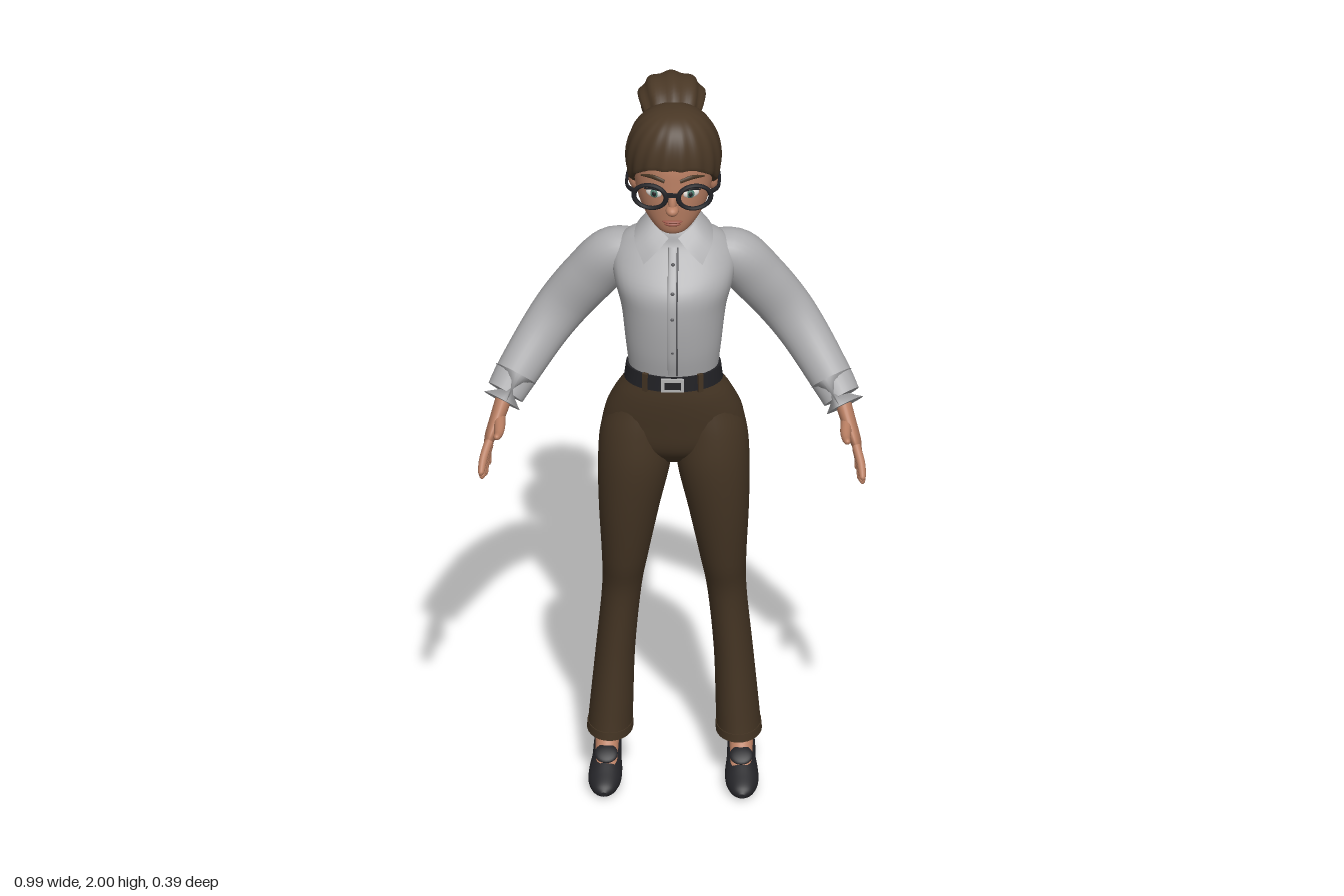
import * as THREE from 'three';

const V = (x, y, z) => new THREE.Vector3(x, y, z);
const paint = (name, color) => {
  const m = new THREE.MeshStandardMaterial({ color });
  m.name = name;
  return m;
};

export function createModel() {
  const model = new THREE.Group();
  model.name = 'woman';
  const skin = paint('skin', 0xb97f63), hair = paint('brown hair', 0x4a3826), shirt = paint('grey shirt', 0xadadaf);
  const cloth = paint('brown trousers', 0x453524), black = paint('black leather', 0x222226), white = paint('eye white', 0xe6e2dc);
  const iris = paint('green iris', 0x4f7f70), lip = paint('lips', 0x9a5648), seam = paint('dark seam', 0x5c5c60);
  const metal = paint('buckle metal', 0xb4b4b4);
  shirt.side = hair.side = THREE.DoubleSide;

  const add = (name, geo, mat, pos = [0, 0, 0], scale = [1, 1, 1], rot = [0, 0, 0]) => {
    const m = new THREE.Mesh(geo, mat);
    m.name = name;
    m.position.set(...pos);
    m.scale.set(...scale);
    m.rotation.set(...rot);
    model.add(m);
    return m;
  };
  const ball = (name, mat, pos, radii, rot) => add(name, new THREE.SphereGeometry(1, 20, 14), mat, pos, radii, rot);

  // Smooth skin over oval sections; each row is x, y, z, radius along wide, radius across.
  function sweep(name, mat, rows, { s = 1, wide = V(1, 0, 0), axis, n = 28, step = 5, ripple = 0, folds = 9 } = {}) {
    const path = new THREE.CatmullRomCurve3(rows.map(r => V(r[0] * s, r[1], r[2])), false, 'catmullrom');
    const size = new THREE.CatmullRomCurve3(rows.map(r => V(r[3], r[4] ?? r[3], 0)), false, 'catmullrom');
    const pos = [], idx = [], rings = (rows.length - 1) * step;
    const put = p => pos.push(p.x, p.y, p.z);
    for (let k = 0; k <= rings; k++) {
      const c = path.getPoint(k / rings), r = size.getPoint(k / rings);
      const t = axis ?? path.getTangent(k / rings);
      const w = wide.clone().addScaledVector(t, -wide.dot(t)).normalize();
      const u = t.clone().cross(w);
      for (let i = 0; i < n; i++) {
        const a = i / n * Math.PI * 2, f = 1 + ripple * Math.cos(folds * a + k * 0.12);
        put(c.clone().addScaledVector(w, r.x * f * Math.cos(a)).addScaledVector(u, r.y * f * Math.sin(a)));
      }
    }
    for (let k = 0; k < rings; k++) for (let i = 0; i < n; i++) {
      const a = k * n + i, b = k * n + (i + 1) % n;
      idx.push(a, b, b + n, a, b + n, a + n);
    }
    // Flat end caps with their own vertices
    for (const [ring, last] of [[0, false], [rings, true]]) {
      const base = pos.length / 3;
      pos.push(...pos.slice(ring * n * 3, (ring + 1) * n * 3));
      put(path.getPoint(last ? 1 : 0));
      for (let i = 0; i < n; i++) {
        const a = base + i, b = base + (i + 1) % n;
        idx.push(base + n, last ? a : b, last ? b : a);
      }
    }
    const g = new THREE.BufferGeometry();
    g.setAttribute('position', new THREE.Float32BufferAttribute(pos, 3));
    g.setIndex(idx);
    g.computeVertexNormals();
    return add(name, g, mat);
  }
  const up = V(0, 1, 0), across = V(0, 0, 1);

  // Grid surface from a point rule
  function surface(name, mat, nu, nv, rule) {
    const g = new THREE.PlaneGeometry(1, 1, nu, nv), p = g.attributes.position;
    for (let j = 0, k = 0; j <= nv; j++) for (let i = 0; i <= nu; i++, k++) {
      const q = rule(i / nu, j / nv);
      p.setXYZ(k, q.x, q.y, q.z);
    }
    g.computeVertexNormals();
    return add(name, g, mat);
  }

  // Trousers, belt and shirt body
  sweep('hips', cloth, [[0, 0.95, 0, 0.09, 0.05], [0, 1.0, 0, 0.178, 0.092], [0, 1.08, 0.002, 0.177, 0.107],
    [0, 1.15, 0.018, 0.15, 0.1], [0, 1.2, 0.03, 0.12, 0.088], [0, 1.225, 0.033, 0.116, 0.086]], { axis: up, n: 40 });
  sweep('belt', black, [[0, 1.193, 0.032, 0.126, 0.093], [0, 1.235, 0.033, 0.121, 0.091]], { axis: up, n: 40, step: 1 });
  for (const a of [0.6, 2.3, 3.98, 5.68])
    add('beltLoop', new THREE.BoxGeometry(0.014, 0.05, 0.01), cloth,
      [0.124 * Math.sin(a), 1.213, 0.032 + 0.092 * Math.cos(a)], [1, 1, 1], [0, a, 0]);
  add('buckle', new THREE.BoxGeometry(0.058, 0.036, 0.008), metal, [0, 1.214, 0.127]);
  add('buckleCentre', new THREE.BoxGeometry(0.042, 0.02, 0.008), black, [0, 1.214, 0.129]);
  sweep('shirtBody', shirt, [[0, 1.22, 0.032, 0.113, 0.085], [0, 1.3, 0.036, 0.122, 0.097], [0, 1.4, 0.025, 0.134, 0.117],
    [0, 1.47, 0.013, 0.152, 0.121], [0, 1.53, -0.014, 0.158, 0.1], [0, 1.575, -0.02, 0.13, 0.073],
    [0, 1.605, -0.012, 0.08, 0.056], [0, 1.625, -0.012, 0.052, 0.046]], { axis: up, n: 40 });
  const front = [[1.24, 0.119], [1.3, 0.134], [1.4, 0.143], [1.47, 0.135], [1.53, 0.088], [1.575, 0.055]];
  sweep('placket', shirt, front.map(([y, z]) => [0, y, z, 0.013, 0.004]), { n: 10 });
  sweep('placketSeam', seam, front.map(([y, z]) => [0.011, y, z + 0.001, 0.0025, 0.004]), { n: 8 });
  for (const [y, z] of front.slice(0, 5)) ball('button', seam, [0, y + 0.015, z + 0.003], [0.005, 0.005, 0.004]);

  // Folded collar with two points
  const curve = pts => new THREE.CatmullRomCurve3(pts.map(p => V(...p)));
  const collarTop = curve([[0.012, 1.602, 0.055], [0.054, 1.632, 0.02], [0.05, 1.655, -0.035], [0, 1.665, -0.058]]);
  const collarEdge = curve([[0.075, 1.54, 0.083], [0.1, 1.588, 0.036], [0.082, 1.607, -0.05], [0, 1.618, -0.08]]);
  for (const s of [1, -1])
    surface('collar', shirt, 16, 3, (u, v) => {
      const p = collarTop.getPoint(u).lerp(collarEdge.getPoint(u), v);
      p.z += 0.008 * Math.sin(Math.PI * v) * (1 - 2 * u);
      return p.setX(p.x * s);
    });

  // Neck and head
  sweep('neck', skin, [[0, 1.57, -0.012, 0.048, 0.044], [0, 1.64, -0.012, 0.044, 0.04], [0, 1.75, 0.01, 0.048, 0.045]], { axis: up });
  sweep('head', skin, [[0, 1.654, 0.115, 0.012, 0.01], [0, 1.662, 0.105, 0.036, 0.032], [0, 1.68, 0.082, 0.058, 0.062],
    [0, 1.71, 0.058, 0.08, 0.09], [0, 1.75, 0.04, 0.095, 0.112], [0, 1.8, 0.034, 0.102, 0.118],
    [0, 1.86, 0.032, 0.1, 0.114], [0, 1.92, 0.03, 0.075, 0.085], [0, 1.945, 0.03, 0.03, 0.03]], { axis: up, n: 36 });
  ball('nose', skin, [0, 1.738, 0.157], [0.017, 0.014, 0.021]);
  ball('noseBridge', skin, [0, 1.762, 0.149], [0.011, 0.034, 0.013], [-0.25, 0, 0]);
  ball('upperLip', lip, [0, 1.699, 0.143], [0.026, 0.005, 0.01]);
  ball('lowerLip', lip, [0, 1.691, 0.142], [0.021, 0.006, 0.009]);

  // Swept-back hair ending at an uneven hairline
  const line = [1.85, 1.845, 1.805, 1.745, 1.712, 1.705, 1.715];
  surface('hairCap', hair, 96, 24, (u, v) => {
    const a = u * Math.PI * 2 - Math.PI, f = Math.min(Math.abs(a) / Math.PI * 6, 5.999), i = Math.floor(f);
    const low = line[i] + (line[i + 1] - line[i]) * (f - i);
    const vv = Math.min(v / 0.93, 1), th = vv * Math.acos((low - 1.83) / 0.143);
    const tuck = v > 0.95 ? 1 - (v - 0.95) * 3 : 1;
    const r = Math.pow(Math.sin(th), 0.8) * (1 + 0.022 * vv * Math.cos(17 * a + 3 * vv)) * tuck;
    const y = 1.83 + 0.143 * Math.cos(th);
    return V(0.122 * r * Math.sin(a), y, 0.03 + (y - 1.83) * 0.12 + 0.127 * r * Math.cos(a));
  });
  sweep('ponytail', hair, [[0, 1.89, 0.0, 0.05, 0.04], [-0.005, 1.928, -0.04, 0.076, 0.058], [-0.008, 1.938, -0.09, 0.084, 0.062],
    [-0.006, 1.905, -0.132, 0.074, 0.055], [0, 1.84, -0.148, 0.056, 0.043], [0.004, 1.765, -0.155, 0.036, 0.028],
    [0.004, 1.69, -0.14, 0.005, 0.005]], { n: 54, step: 7, ripple: 0.05 });

  for (const s of [1, -1]) {
    // Ear, eye and brow
    ball('ear', skin, [0.103 * s, 1.757, 0.01], [0.014, 0.034, 0.022], [0, 0, -0.15 * s]);
    ball('eyeWhite', white, [0.046 * s, 1.78, 0.137], [0.023, 0.014, 0.009], [0, 0.35 * s, 0]);
    ball('iris', iris, [0.046 * s, 1.78, 0.143], [0.011, 0.012, 0.005], [0, 0.25 * s, 0]);
    ball('pupil', black, [0.046 * s, 1.78, 0.146], [0.006, 0.007, 0.004]);
    sweep('upperLash', black, [[0.022, 1.785, 0.146, 0.002], [0.046, 1.795, 0.145, 0.004], [0.071, 1.786, 0.129, 0.002]], { s, wide: up, n: 8 });
    sweep('eyebrow', hair, [[0.02, 1.818, 0.15, 0.005, 0.004], [0.05, 1.826, 0.14, 0.006, 0.004], [0.08, 1.816, 0.112, 0.002, 0.003]],
      { s, wide: up, n: 10 });
    // Glasses rim and temple
    add('glassesRim', new THREE.TorusGeometry(0.042, 0.0065, 10, 32), black, [0.057 * s, 1.777, 0.155], [1, 0.78, 1], [0, 0.2 * s, 0]);
    sweep('glassesTemple', black, [[0.098, 1.79, 0.149, 0.007, 0.004], [0.116, 1.79, 0.12, 0.006, 0.004],
      [0.117, 1.785, 0.05, 0.005, 0.004], [0.112, 1.778, 0.0, 0.004, 0.003]], { s, wide: up, n: 10 });

    // Sleeve and cuff
    sweep('sleeve', shirt, [[0.09, 1.535, -0.03, 0.055, 0.045], [0.155, 1.505, -0.042, 0.066, 0.07], [0.215, 1.435, -0.054, 0.06, 0.072],
      [0.28, 1.35, -0.062, 0.054, 0.068], [0.335, 1.275, -0.042, 0.052, 0.062], [0.4, 1.182, 0.01, 0.05, 0.055],
      [0.428, 1.14, 0.038, 0.047, 0.05]], { s, wide: across });
    sweep('cuff', shirt, [[0.402, 1.18, 0.012, 0.054, 0.057], [0.437, 1.122, 0.05, 0.05, 0.051]], { s, wide: across, step: 1 });

    // Hand with four fingers and a thumb
    sweep('palm', skin, [[0.43, 1.135, 0.045, 0.026, 0.021], [0.446, 1.09, 0.068, 0.032, 0.019], [0.464, 1.045, 0.09, 0.041, 0.015],
      [0.472, 1.018, 0.103, 0.034, 0.01]], { s, wide: V(0, 0.4, 0.92) });
    const fingers = [[1.045, 0.125, 0.486, 0.982, 0.192], [1.032, 0.112, 0.484, 0.958, 0.166],
      [1.02, 0.096, 0.478, 0.947, 0.13], [1.018, 0.078, 0.47, 0.96, 0.096]];
    for (const [y, z, tx, ty, tz] of fingers)
      sweep('finger', skin, [[0.468, y, z, 0.011], [(0.476 + tx) / 2, (y + ty) / 2, (z + tz) / 2, 0.0105],
        [tx, ty + 0.006, tz - 0.006, 0.008], [tx, ty, tz, 0.002]], { s, n: 12 });
    sweep('thumb', skin, [[0.442, 1.09, 0.075, 0.015], [0.441, 1.082, 0.12, 0.014], [0.443, 1.08, 0.152, 0.011],
      [0.447, 1.083, 0.174, 0.008], [0.448, 1.084, 0.181, 0.002]], { s, n: 12 });

    // Flared trouser leg
    sweep('trouserLeg', cloth, [[0.164, 0.13, -0.054, 0.057, 0.083], [0.16, 0.2, -0.055, 0.055, 0.08], [0.15, 0.36, -0.054, 0.05, 0.074],
      [0.134, 0.54, -0.04, 0.05, 0.068], [0.125, 0.65, -0.016, 0.059, 0.073], [0.114, 0.8, 0.002, 0.077, 0.086],
      [0.1, 0.94, 0.008, 0.093, 0.098], [0.095, 1.04, 0.002, 0.09, 0.1], [0.085, 1.12, 0.005, 0.07, 0.085]], { s, axis: up });
    sweep('trouserHem', cloth, [[0.164, 0.128, -0.054, 0.059, 0.085], [0.163, 0.15, -0.054, 0.058, 0.084]], { s, axis: up, step: 1 });

    // Foot and heeled shoe
    sweep('ankle', skin, [[0.172, 0.055, 0.03, 0.028, 0.016], [0.171, 0.085, -0.015, 0.029, 0.026],
      [0.17, 0.12, -0.055, 0.031, 0.033], [0.168, 0.18, -0.06, 0.032, 0.036]], { s });
    sweep('shoe', black, [[0.176, 0.014, 0.108, 0.008, 0.006], [0.176, 0.019, 0.093, 0.028, 0.017], [0.175, 0.028, 0.06, 0.041, 0.027],
      [0.173, 0.041, 0.02, 0.042, 0.036], [0.171, 0.057, -0.02, 0.037, 0.035], [0.17, 0.077, -0.065, 0.035, 0.036],
      [0.169, 0.089, -0.1, 0.03, 0.035], [0.169, 0.09, -0.114, 0.012, 0.016]], { s, axis: V(0, 0, -1) });
    ball('shoeTongue', black, [0.172 * s, 0.085, 0.018], [0.03, 0.008, 0.028], [0.6, 0, 0]);
    sweep('heel', black, [[0.169, 0, -0.094, 0.017, 0.015], [0.169, 0.035, -0.093, 0.018, 0.017], [0.169, 0.08, -0.086, 0.028, 0.028]],
      { s, axis: up });
  }
  add('glassesBridge', new THREE.BoxGeometry(0.026, 0.009, 0.008), black, [0, 1.785, 0.163]);
  return model;
}
